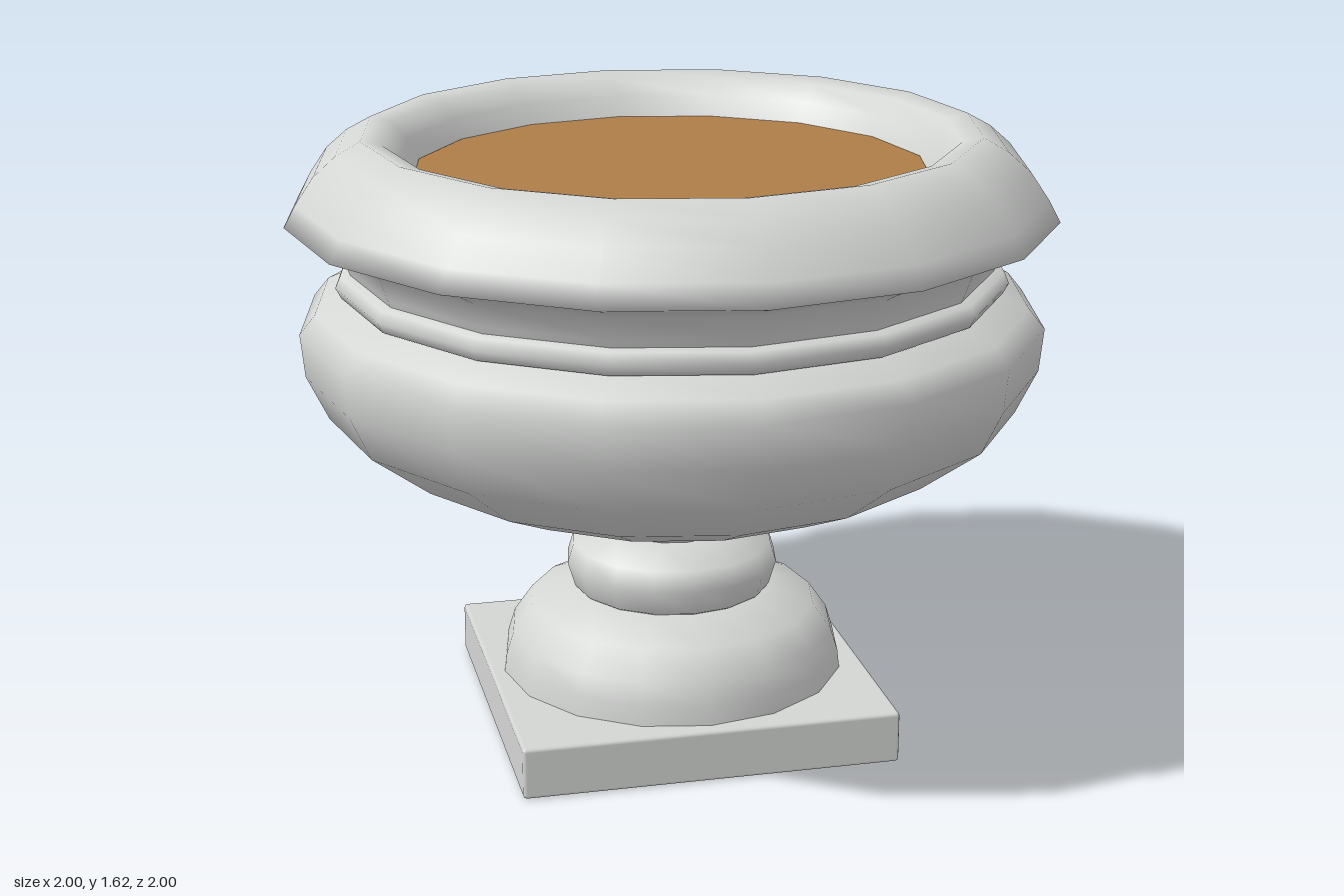
import * as THREE from 'three';
import { RoundedBoxGeometry } from 'three/addons/geometries/RoundedBoxGeometry.js';

const SIDES = 16;

export function createModel() {
  const urn = new THREE.Group();
  urn.name = 'planterUrn';

  const stone = new THREE.MeshStandardMaterial({ color: 0xd4d6d4 });
  stone.name = 'stone';
  const soilBrown = new THREE.MeshStandardMaterial({ color: 0xae7d48 });
  soilBrown.name = 'soilBrown';

  const add = (name, geometry, material) => {
    const mesh = new THREE.Mesh(geometry, material);
    mesh.name = name;
    urn.add(mesh);
    return mesh;
  };

  // Turned mouldings: each profile [radius, y] runs upward and is smooth; seams between them stay sharp
  const mouldings = {
    foot: [[0.464, 0.13], [0.457, 0.19], [0.438, 0.25], [0.388, 0.322], [0.262, 0.366], [0.2, 0.37]],
    collar: [[0.25, 0.362], [0.266, 0.372], [0.286, 0.438], [0.27, 0.492], [0.175, 0.533], [0.12, 0.537]],
    stem: [[0.16, 0.53], [0.188, 0.558], [0.21, 0.6], [0.222, 0.655]],
    bowl: [[0.1, 0.645], [0.214, 0.647], [0.39, 0.658], [0.578, 0.695], [0.743, 0.77],
      [0.906, 0.893], [0.962, 1.01], [0.973, 1.123], [0.932, 1.173], [0.84, 1.214]],
    beadRing: [[0.82, 1.209], [0.862, 1.212], [0.877, 1.24], [0.865, 1.268], [0.82, 1.275]],
    neckAndRim: [[0.835, 1.265], [0.845, 1.29], [0.868, 1.352], [0.92, 1.38], [1, 1.405],
      [0.97, 1.46], [0.922, 1.53], [0.865, 1.58], [0.8, 1.616],
      [0.745, 1.603], [0.7, 1.56], [0.667, 1.49]],
  };
  for (const [name, profile] of Object.entries(mouldings)) {
    const points = profile.map(([r, y]) => new THREE.Vector2(r, y));
    add(name, new THREE.LatheGeometry(points, SIDES), stone);
  }

  // Square plinth with softened edges
  add('plinth', new RoundedBoxGeometry(1, 0.14, 1, 1, 0.01), stone).position.y = 0.07;

  // Soil filling the bowl
  const soil = add('soil', new THREE.CircleGeometry(0.672, SIDES), soilBrown);
  soil.rotation.x = -Math.PI / 2;
  soil.position.y = 1.507;

  return urn;
}
